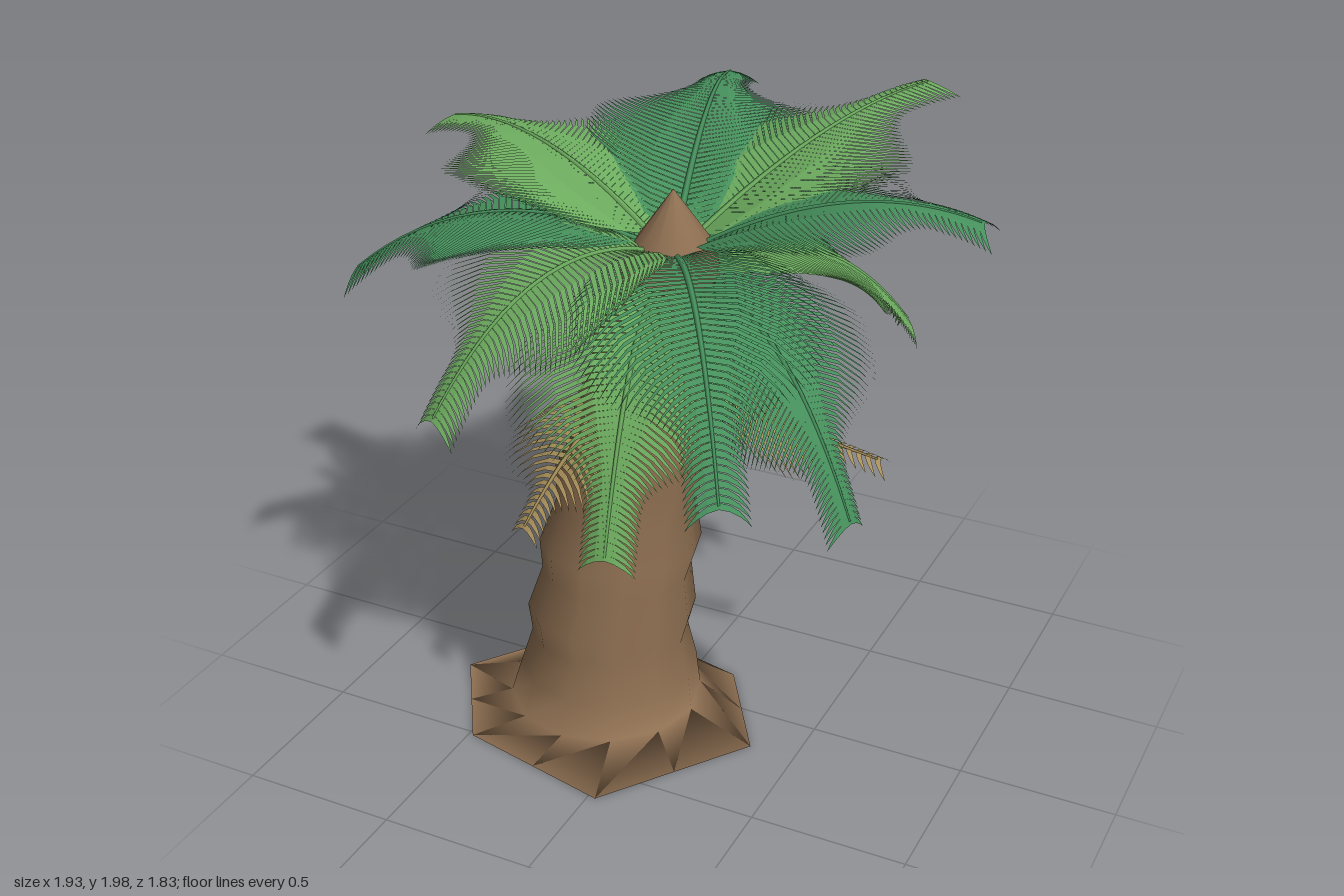
import * as THREE from 'three';

const V = (x, y, z) => new THREE.Vector3(x, y, z);
const mat = (color, side = THREE.FrontSide) => new THREE.MeshStandardMaterial({ color, side });
const bark = mat(0x8f7052);
const lightGreen = mat(0x6cab5e, THREE.DoubleSide);
const darkGreen = mat(0x46905c, THREE.DoubleSide);
const dry = mat(0xa88f5a, THREE.DoubleSide);

// Foot outline around its centre
const FOOT = [[0.525, 0], [0.2, 0.455], [-0.31, 0.34], [-0.525, 0], [-0.2, -0.455], [0.31, -0.34]];

// Trunk rings above the foot: height, centre x, centre z, radius
const RINGS = [
  [0.08, -0.172, 0.175, 0.31], [0.2, -0.16, 0.172, 0.285],
  [0.32, -0.155, 0.17, 0.252], [0.41, -0.15, 0.165, 0.27], [0.55, -0.135, 0.155, 0.238],
  [0.65, -0.125, 0.147, 0.257], [0.79, -0.112, 0.13, 0.22], [0.91, -0.092, 0.12, 0.242],
  [1.03, -0.065, 0.112, 0.203], [1.13, -0.055, 0.106, 0.218], [1.27, -0.035, 0.1, 0.183],
  [1.37, -0.015, 0.095, 0.19], [1.5, 0.015, 0.09, 0.145], [1.58, 0.025, 0.09, 0.15],
  [1.67, 0.035, 0.09, 0.115], [1.83, 0.035, 0.09, 0.001],
];

// Bulging, leaning trunk with a six-cornered foot and a pointed bud
function makeTrunk() {
  const n = 12, pos = [], idx = [];
  const foot = (scale) => FOOT.forEach(([x, z], i) => {
    const [x2, z2] = FOOT[(i + 1) % 6];
    for (const k of [0, 0.5]) {
      pos.push(-0.175 + scale * (x + (x2 - x) * k), 0, 0.175 + scale * (z + (z2 - z) * k));
    }
  });
  foot(0.001);
  foot(1);
  for (const [y, cx, cz, r] of RINGS) {
    for (let i = 0; i < n; i++) {
      const a = (i / n) * Math.PI * 2;
      pos.push(cx + Math.cos(a) * r, y, cz + Math.sin(a) * r);
    }
  }
  for (let k = 0; k < RINGS.length + 1; k++) {
    for (let i = 0; i < n; i++) {
      const a = k * n + i, b = k * n + ((i + 1) % n);
      idx.push(a, a + n, b, b, a + n, b + n);
    }
  }
  const g = new THREE.BufferGeometry();
  g.setAttribute('position', new THREE.Float32BufferAttribute(pos, 3));
  g.setIndex(idx);
  g.computeVertexNormals();
  const trunk = new THREE.Mesh(g, bark);
  trunk.name = 'trunk';
  return trunk;
}

// Curved, pointed leaflets along both sides of a stem, raised near the crown
function leafletGeometry(curve, count, maxLength, width) {
  const pos = [], steps = [0, 0.3, 0.6, 0.85, 1];
  for (let i = 0; i < count; i++) {
    const t = 0.06 + (0.94 * i) / (count - 1);
    const root = curve.getPointAt(t), T = curve.getTangentAt(t);
    const S = V(-T.z, 0, T.x).normalize();
    const N = S.clone().cross(T).normalize();
    if (N.y < 0) N.negate();
    const swell = Math.min(1, 0.55 + t * 2.2);
    const taper = 1 - 0.75 * THREE.MathUtils.smoothstep(t, 0.32, 0.8);
    const L = maxLength * swell * taper;
    for (const side of [-1, 1]) {
      const edge = steps.map((s) => {
        const c = root.clone()
          .addScaledVector(S, side * L * (0.98 * s - 0.15 * s * s))
          .addScaledVector(T, L * (0.12 * s + 0.42 * s * s))
          .addScaledVector(N, L * ((0.33 - 0.4 * t) * s - 0.3 * s * s));
        const w = width * (1 - 0.97 * s * s * s) * 0.5;
        return [c.clone().addScaledVector(T, -w), c.clone().addScaledVector(T, w)];
      });
      for (let k = 0; k < steps.length - 1; k++) {
        const [a, b] = edge[k], [c, d] = edge[k + 1];
        const quad = [a, b, c, b, d, c];
        // Keep the upper face as the front
        const up = b.clone().sub(a).cross(c.clone().sub(a)).dot(N);
        if (up < 0) quad.reverse();
        quad.forEach((p) => pos.push(p.x, p.y, p.z));
      }
    }
  }
  const g = new THREE.BufferGeometry();
  g.setAttribute('position', new THREE.Float32BufferAttribute(pos, 3));
  g.computeVertexNormals();
  return g;
}

// Stem tube that narrows towards the tip
function stemGeometry(curve, radius) {
  const seg = 16, sides = 5;
  const g = new THREE.TubeGeometry(curve, seg, radius, sides);
  const p = g.attributes.position;
  for (let i = 0; i <= seg; i++) {
    const c = curve.getPointAt(i / seg), k = 1 - 0.7 * (i / seg);
    for (let j = 0; j <= sides; j++) {
      const n = i * (sides + 1) + j;
      const v = V().fromBufferAttribute(p, n).sub(c).multiplyScalar(k).add(c);
      p.setXYZ(n, v.x, v.y, v.z);
    }
  }
  return g;
}

// Arched frond: the control point lies about half way out, at height arch
function makeFrond(name, material, base, tip, arch, count, length, width) {
  const mid = base.clone().lerp(tip, 0.55);
  mid.y = arch;
  const curve = new THREE.QuadraticBezierCurve3(base, mid, tip);
  const frond = new THREE.Group();
  frond.name = name;
  const stem = new THREE.Mesh(stemGeometry(curve, 0.012), material);
  stem.name = 'stem';
  const leaflets = new THREE.Mesh(leafletGeometry(curve, count, length, width), material);
  leaflets.name = 'leaflets';
  frond.add(stem, leaflets);
  return frond;
}

// Fronds: tip x, y, z, arch height, material
const UPPER = [
  [-0.22, 1.87, -0.86, 2.0, darkGreen], [0.51, 1.98, -0.72, 1.96, lightGreen],
  [0.91, 1.82, -0.08, 1.94, darkGreen], [-0.87, 1.83, -0.19, 1.94, lightGreen],
  [-0.92, 1.5, 0.33, 1.86, darkGreen], [-0.33, 1.36, 0.86, 1.85, lightGreen],
  [0.52, 1.27, 0.81, 1.82, darkGreen],
];
const LOWER = [
  [0.13, 0.96, 0.73, 1.66, lightGreen], [0.69, 0.98, 0.27, 1.62, darkGreen],
  [0.6, 1.33, -0.4, 1.75, lightGreen], [-0.58, 1.48, -0.57, 1.76, darkGreen],
];
const DRY = [[0.64, 1.0, -0.08, 1.08], [-0.23, 0.88, 0.56, 1.08]];

export function createModel() {
  const palm = new THREE.Group();
  palm.name = 'palmTree';
  palm.add(makeTrunk());

  const layer = (name, rows, y, reach, length) => rows.forEach(([x, ty, z, arch, m]) => {
    const out = V(x - 0.03, 0, z - 0.09).setLength(reach);
    const base = V(0.03 + out.x, y, 0.09 + out.z);
    palm.add(makeFrond(name, m, base, V(x, ty, z), arch, 46, length, 0.019));
  });
  layer('upperFrond', UPPER, 1.64, 0.05, 0.44);
  layer('lowerFrond', LOWER, 1.55, 0.07, 0.42);

  // Withered fronds below the crown
  for (const [x, y, z, arch] of DRY) {
    const out = V(x + 0.05, 0, z - 0.1).setLength(0.12);
    const base = V(-0.05 + out.x, 1.2, 0.1 + out.z);
    palm.add(makeFrond('dryFrond', dry, base, V(x, y, z), arch, 20, 0.3, 0.018));
  }
  return palm;
}
